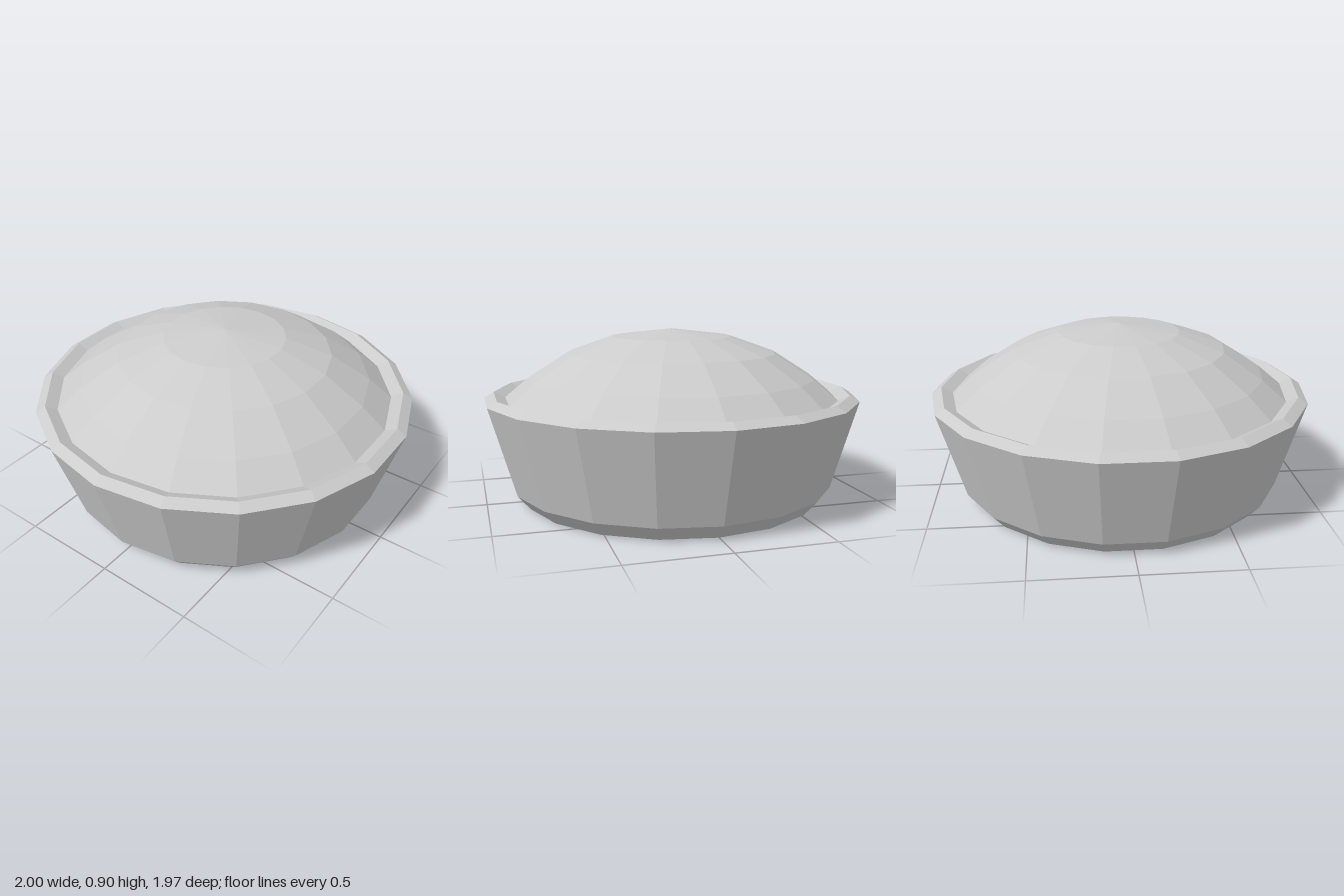
import * as THREE from 'three';

const SIDES = 18;

// Faceted solid of revolution; profile points are [radius, height]
function turned(name, profile, material) {
  const points = profile.map(([r, y]) => new THREE.Vector2(r, y));
  // Start on the x axis so that corners fall on +x and -x
  const geometry = new THREE.LatheGeometry(points, SIDES, Math.PI / 2);
  const mesh = new THREE.Mesh(geometry, material);
  mesh.name = name;
  return mesh;
}

export function createModel() {
  const material = new THREE.MeshStandardMaterial({ color: 0xcccccc, flatShading: true });
  const model = new THREE.Group();
  model.name = 'domedDish';

  // Flat base, chamfered foot and flared wall
  model.add(turned('dish', [[0, 0], [0.8, 0], [0.865, 0.075], [1, 0.54]], material));

  // Ridged rim, sloping down into a groove around the dome
  model.add(turned('rim', [[1, 0.54], [0.95, 0.57], [0.89, 0.54]], material));

  // Shallow domed filling
  model.add(turned('dome', [[0.89, 0.54], [0.765, 0.645], [0.56, 0.775], [0.32, 0.86], [0, 0.9]], material));

  return model;
}
